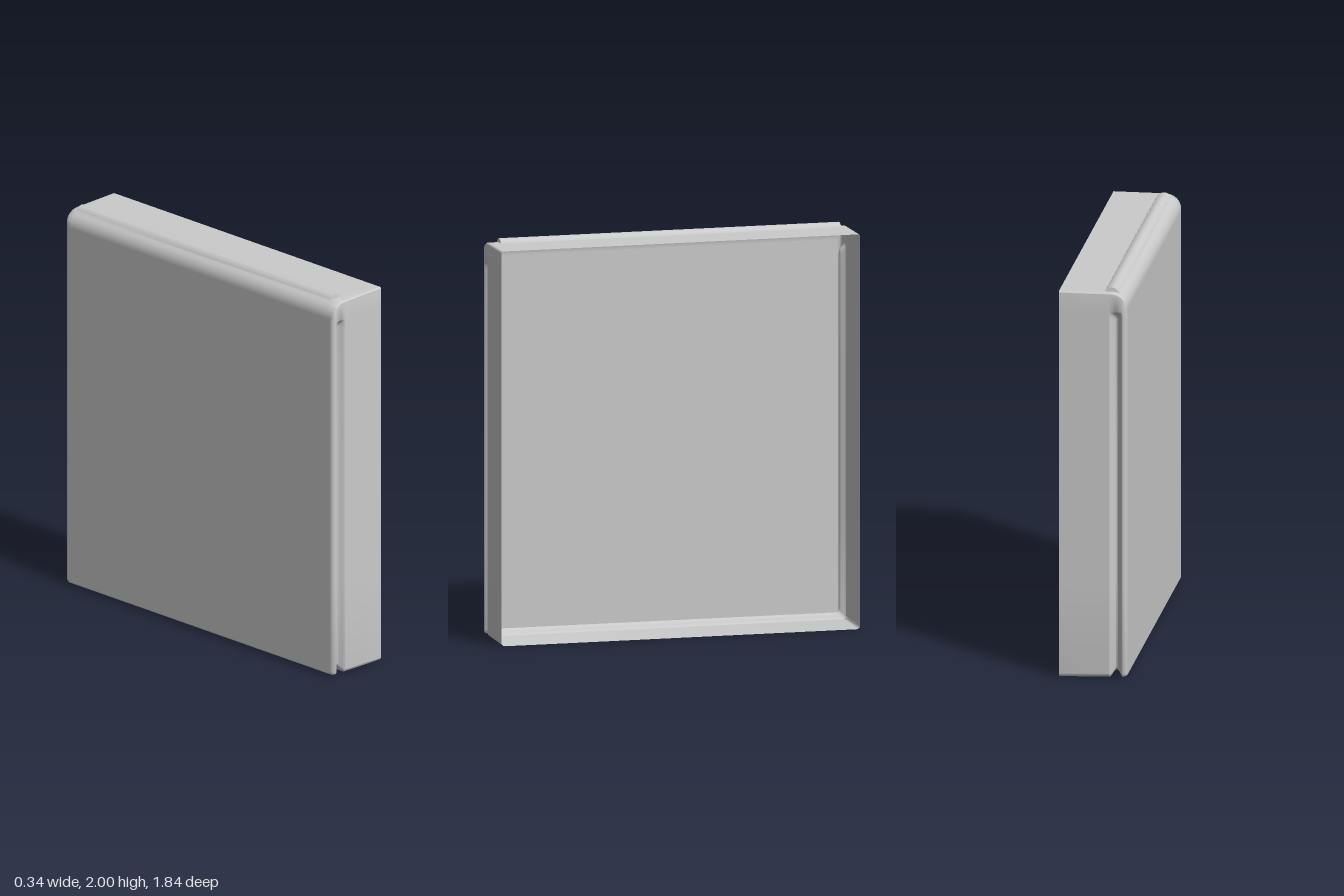
import * as THREE from 'three';
import { toCreasedNormals } from 'three/addons/utils/BufferGeometryUtils.js';

const BACK = -0.17, OPEN = 0.17, HALF = 0.92, TOP = 1.98;
const grey = () => new THREE.MeshStandardMaterial({ color: 0xcccccc, side: THREE.DoubleSide });

// how far a rounded edge of radius r pulls in at distance d from the panel
const roundEdge = (d, r) => (d >= r ? 0 : r - Math.sqrt(r * r - (r - d) ** 2));

// channel pressed into the sides and bottom
const groove = (x) => {
  const u = (x + 0.115) / 0.032;
  return Math.abs(u) < 1 ? 0.03 * Math.cos(u * Math.PI / 2) ** 1.5 : 0;
};

// raised rib along the top
const rib = (x) => {
  const u = (x + 0.13) / 0.075;
  return u > 0 && u < 1 ? 0.02 * Math.sin(u * Math.PI) ** 0.6 : 0;
};

// cross-section of the shell at depth x, as [z, y] points
function section(x) {
  const d = x - BACK, g = groove(x), edge = roundEdge(d, 0.02);
  const z0 = HALF - edge;
  const bottom = 0.01 * (OPEN - x) / 0.34 + edge * 0.5 + g;
  const top = TOP - roundEdge(d, 0.08);
  const pts = [];
  const corner = (z, y, r, from) => {
    for (let k = 0; k <= 5; k++) {
      const a = from + (k / 5) * Math.PI / 2;
      pts.push([z + r * Math.cos(a), y + r * Math.sin(a)]);
    }
  };
  // the side channel fades out just below the top
  const sides = [[0.5, 1], [1.2, 1], [1.84, 1], [1.857, 0.9], [1.868, 0.6], [1.878, 0.2], [1.885, 0]];
  const rB = 0.018, rT = 0.008;

  corner(-z0 + g + rB, bottom + rB, rB, Math.PI);
  corner(z0 - g - rB, bottom + rB, rB, -Math.PI / 2);
  for (const [y, w] of sides) pts.push([z0 - g * w, y]);
  corner(z0 - rT, top - rT, rT, 0);
  for (const [z, w] of [[0.862, 0], [0.86, 1], [0, 1], [-0.885, 1], [-0.887, 0]])
    pts.push([z, top + rib(x) * w]);
  corner(-z0 + rT, top - rT, rT, Math.PI / 2);
  for (const [y, w] of [...sides].reverse()) pts.push([-z0 + g * w, y]);
  return pts;
}

function shellGeometry() {
  const xs = [BACK, -0.1695, -0.168, -0.1655, -0.162, -0.157, -0.152];
  for (let x = -0.147; x < -0.05; x += 0.004) xs.push(x);
  xs.push(-0.045, 0.05, OPEN);

  const n = section(BACK).length, pos = [], index = [];
  for (const x of xs) for (const [z, y] of section(x)) pos.push(x, y, z);
  for (let j = 0; j < xs.length - 1; j++) {
    for (let i = 0; i < n; i++) {
      const a = j * n + i, b = j * n + (i + 1) % n;
      index.push(a, a + n, b, b, a + n, b + n);
    }
  }
  const geo = new THREE.BufferGeometry();
  geo.setAttribute('position', new THREE.Float32BufferAttribute(pos, 3));
  geo.setIndex(index);
  return toCreasedNormals(geo, 0.75);
}

export function createModel() {
  const group = new THREE.Group();
  group.name = 'doorPanel';

  // walls with channel, rib and rounded edges, open towards +x
  const walls = new THREE.Mesh(shellGeometry(), grey());
  walls.name = 'walls';
  group.add(walls);

  // flat outer face
  const outline = new THREE.Shape(section(BACK).map(([z, y]) => new THREE.Vector2(z, y)));
  const face = new THREE.ShapeGeometry(outline);
  face.rotateY(-Math.PI / 2);
  face.translate(BACK, 0, 0);
  const panel = new THREE.Mesh(face, grey());
  panel.name = 'facePanel';
  group.add(panel);

  return group;
}
